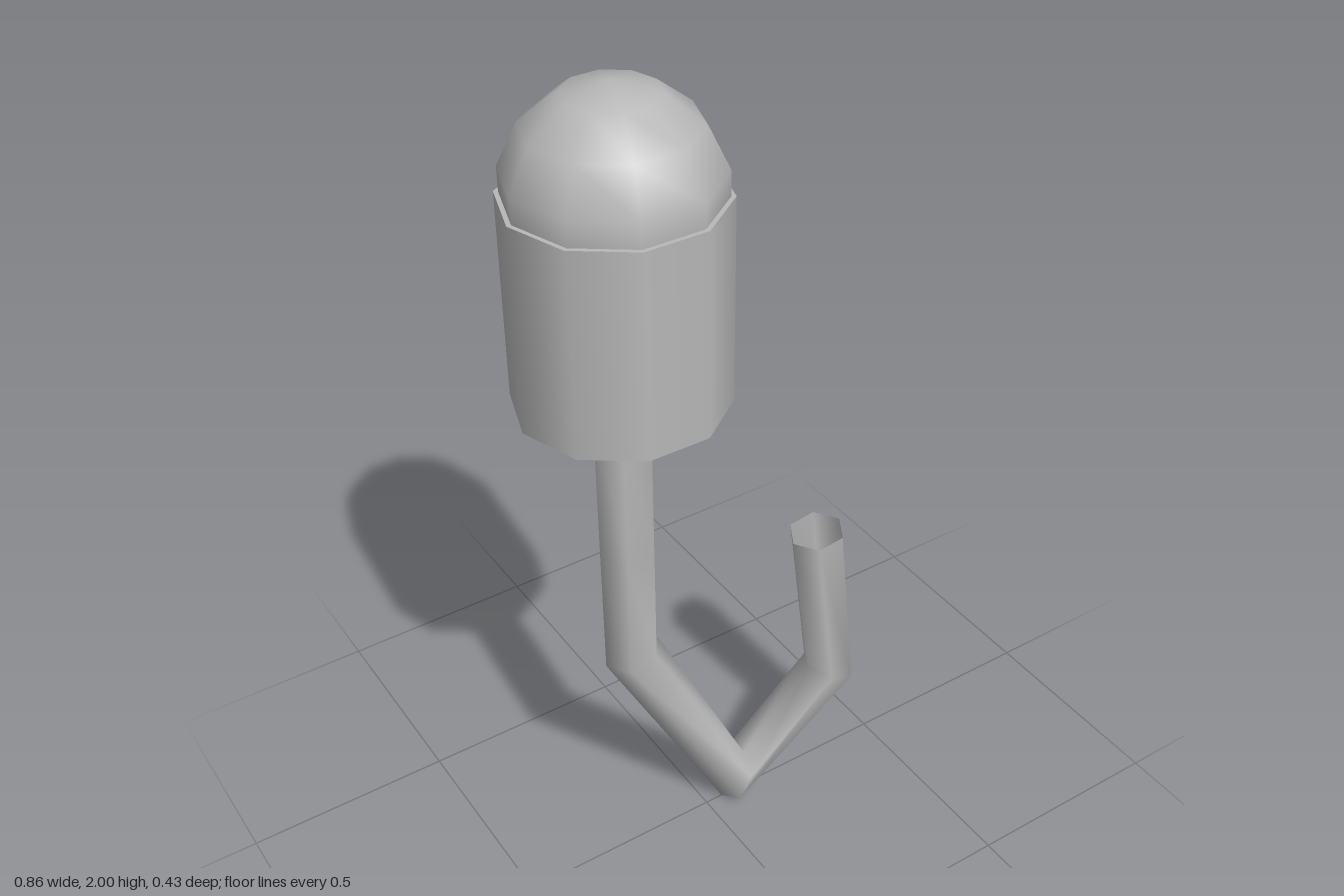
import * as THREE from 'three';

const HEAD_X = -0.205;

// Six-sided open tube lofted through bends; each station gives its outer and inner corner
function hookGeometry(stations, sides, depth) {
  const pos = [], index = [];
  for (const [ox, oy, ix, iy] of stations) {
    for (let j = 0; j < sides; j++) {
      const a = (j / sides) * Math.PI * 2;
      const t = (1 + Math.cos(a)) / 2;
      pos.push(ox + (ix - ox) * t, oy + (iy - oy) * t, depth * Math.sin(a));
    }
  }
  for (let i = 0; i < stations.length - 1; i++) {
    for (let j = 0; j < sides; j++) {
      const k = (j + 1) % sides;
      const a = i * sides + j, b = i * sides + k;
      const c = a + sides, d = b + sides;
      index.push(a, b, c, b, d, c);
    }
  }
  const g = new THREE.BufferGeometry();
  g.setAttribute('position', new THREE.Float32BufferAttribute(pos, 3));
  g.setIndex(index);
  g.computeVertexNormals();
  return g;
}

export function createModel() {
  const model = new THREE.Group();
  model.name = 'hook';
  const grey = new THREE.MeshStandardMaterial({ color: 0xb8b8b8, side: THREE.DoubleSide });
  grey.name = 'grey';

  function add(name, geometry, x = 0, y = 0) {
    const mesh = new THREE.Mesh(geometry, grey);
    mesh.name = name;
    mesh.position.set(x, y, 0);
    model.add(mesh);
  }

  // Ten-sided cuff with a corner on each side
  add('cuff', new THREE.CylinderGeometry(0.226, 0.226, 0.455, 10, 1, false, Math.PI / 2), HEAD_X, 1.5475);

  // Rounded cap seated in the cuff
  add('cap', new THREE.SphereGeometry(0.222, 10, 7), HEAD_X, 1.778);

  // Straight shank, slanted run, return and open tip
  add('hookTube', hookGeometry([
    [-0.274, 1.33, -0.138, 1.33],
    [-0.272, 0.93, -0.139, 0.93],
    [-0.27, 0.615, -0.14, 0.648],
    [0.045, 0.004, 0.112, 0.12],
    [0.427, 0.27, 0.303, 0.31],
    [0.374, 0.755, 0.242, 0.737],
  ], 6, 0.067));

  return model;
}
